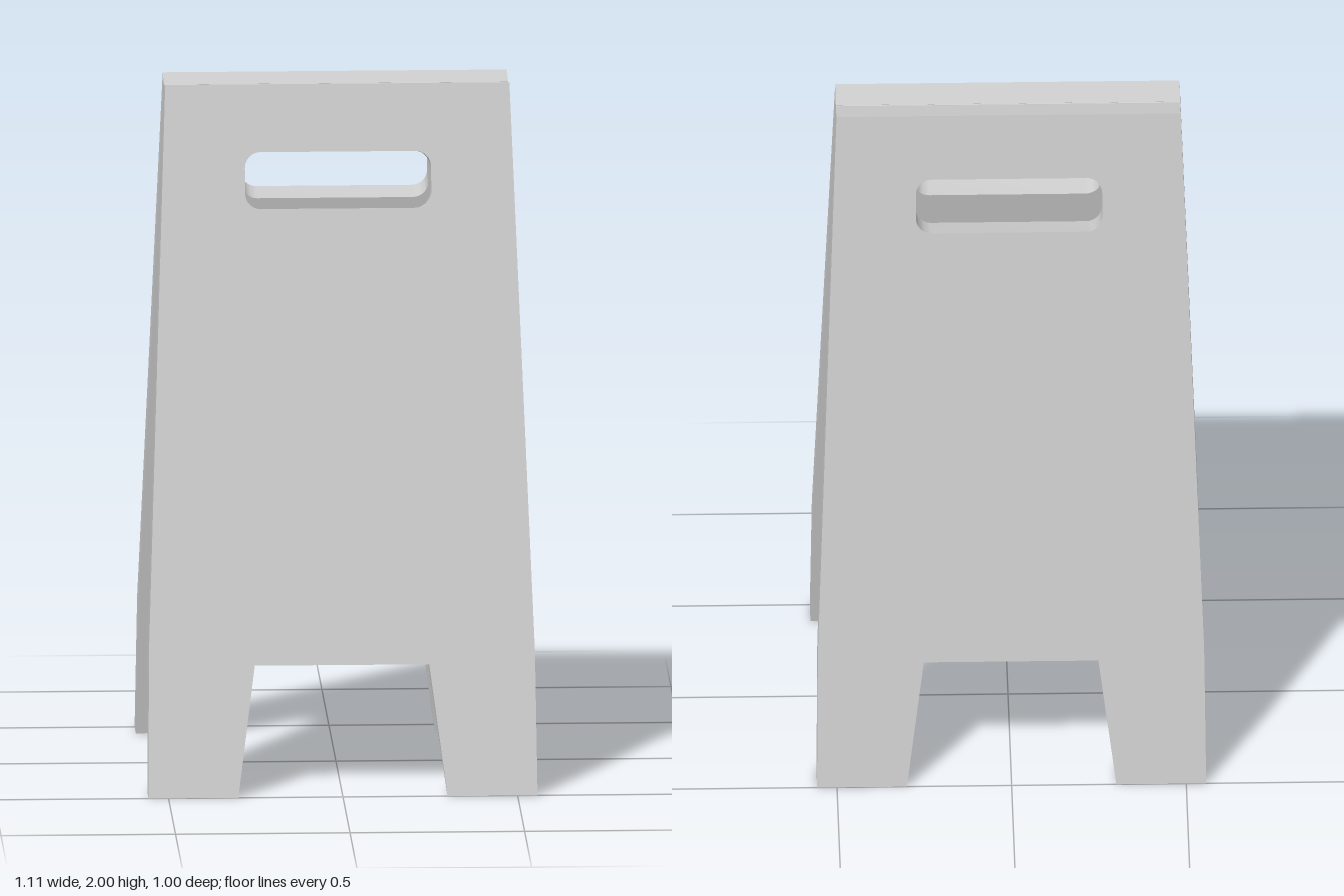
import * as THREE from 'three';
import { toCreasedNormals } from 'three/addons/utils/BufferGeometryUtils.js';

const SLOPE = 0.205;   // outward lean per unit of height
const FOOT_Z = 0.5;    // outer face at the ground
const THICK = 0.09;    // horizontal thickness of a panel

// Rounded handle slot
function slot(x, y0, y1, r) {
  const p = new THREE.Path();
  p.absarc(x - r, y1 - r, r, 0, Math.PI / 2);
  p.absarc(-x + r, y1 - r, r, Math.PI / 2, Math.PI);
  p.absarc(-x + r, y0 + r, r, Math.PI, Math.PI * 1.5);
  p.absarc(x - r, y0 + r, r, Math.PI * 1.5, Math.PI * 2);
  p.closePath();
  return p;
}

// Tapered board with two legs, leaned so its edges stay square to its face
function panelGeometry() {
  const half = [[0.25, 0.37], [0.3, 0], [0.557, 0], [0.553, 0.4], [0.493, 2]];
  const outline = [...half, ...half.map(([x, y]) => [-x, y]).reverse()];
  const shape = new THREE.Shape(outline.map(([x, y]) => new THREE.Vector2(x, y)));
  shape.holes.push(slot(0.267, 1.65, 1.81, 0.045));

  const geo = new THREE.ExtrudeGeometry(shape, { depth: 1, bevelEnabled: false, curveSegments: 6 });
  const pos = geo.attributes.position;
  for (let i = 0; i < pos.count; i++) {
    const depth = 1 - pos.getZ(i);
    const y0 = pos.getY(i);
    const y = y0 < 0.001 ? 0 : y0 - 0.0177 * depth; // feet are cut level
    pos.setXYZ(i, pos.getX(i), y, FOOT_Z - THICK * depth - SLOPE * y);
  }
  geo.computeVertexNormals();
  return toCreasedNormals(geo, 0.5);
}

// Small web joining the two boards under the top groove
function hingeGeometry() {
  const pts = [[-0.0205, 1.9], [0.0205, 1.9], [0.0037, 1.982], [0, 1.981], [-0.0037, 1.982]];
  const shape = new THREE.Shape(pts.map(([z, y]) => new THREE.Vector2(z, y)));
  const width = 0.986;
  const geo = new THREE.ExtrudeGeometry(shape, { depth: width, bevelEnabled: false });
  geo.translate(0, 0, -width / 2);
  geo.rotateY(Math.PI / 2);
  return geo;
}

export function createModel() {
  const group = new THREE.Group();
  group.name = 'foldingFloorSign';
  const material = new THREE.MeshStandardMaterial({ color: 0xcccccc });

  const panel = panelGeometry();
  ['frontPanel', 'backPanel'].forEach((name, i) => {
    const mesh = new THREE.Mesh(panel, material);
    mesh.name = name;
    mesh.rotation.y = i * Math.PI;
    group.add(mesh);
  });

  const hinge = new THREE.Mesh(hingeGeometry(), material);
  hinge.name = 'topHinge';
  group.add(hinge);
  return group;
}
